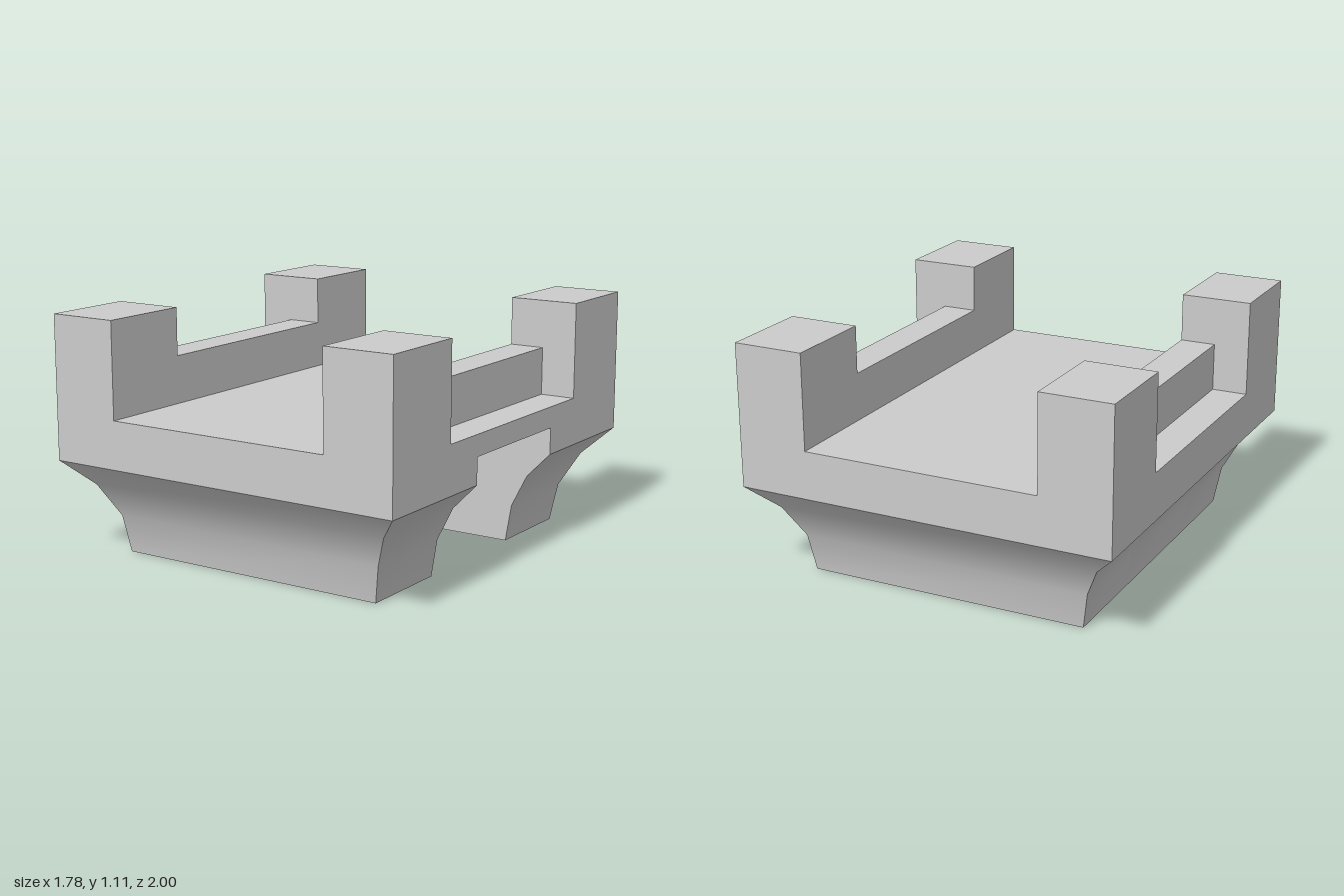
import * as THREE from 'three';
import { toCreasedNormals } from 'three/addons/utils/BufferGeometryUtils.js';

const GREY = new THREE.MeshStandardMaterial({ color: 0xcccccc });
const FLOOR = 0.667, HALF_X = 0.889, INNER_X = 0.556, POST_Z = 0.556, SLOT = 0.333;

// Base outline from the ground up to the floor: [y, half width, half depth]
const PROFILE = [
  [0, 0.667, 0.778],
  [0.173, 0.696, 0.805],
  [0.325, 0.773, 0.885],
  [0.444, HALF_X, 1],
  [FLOOR, HALF_X, 1],
];

function add(parent, name, geometry) {
  const mesh = new THREE.Mesh(geometry, GREY);
  mesh.name = name;
  parent.add(mesh);
  return mesh;
}

function boxBetween(parent, name, x0, x1, y0, y1, z0, z1) {
  const mesh = add(parent, name, new THREE.BoxGeometry(x1 - x0, y1 - y0, z1 - z0));
  mesh.position.set((x0 + x1) / 2, (y0 + y1) / 2, (z0 + z1) / 2);
}

// One end of the base: rectangles stacked along the profile, flat against the slot
function endBlockGeometry() {
  const rings = PROFILE.map(([y, hx, hz]) => [
    [-hx, y, hz], [hx, y, hz], [hx, y, SLOT], [-hx, y, SLOT],
  ]);
  const points = [];
  const quad = (a, b, c, d) => points.push(...a, ...b, ...c, ...a, ...c, ...d);
  for (let r = 0; r < rings.length - 1; r++) {
    for (let i = 0; i < 4; i++) {
      const j = (i + 1) % 4;
      quad(rings[r][i], rings[r][j], rings[r + 1][j], rings[r + 1][i]);
    }
  }
  quad(...[...rings[0]].reverse());
  quad(...rings[rings.length - 1]);
  const geometry = new THREE.BufferGeometry();
  geometry.setAttribute('position', new THREE.Float32BufferAttribute(points, 3));
  return toCreasedNormals(geometry, 0.5);
}

// Middle of the base: a slot with a sloping ceiling, open on the left side and below
function slotBlockGeometry() {
  const shape = new THREE.Shape();
  shape.moveTo(-PROFILE[0][1], 0);
  shape.lineTo(HALF_X, 0.568);
  shape.lineTo(HALF_X, FLOOR);
  for (const [y, hx] of [...PROFILE].reverse().slice(0, -1)) shape.lineTo(-hx, y);
  shape.closePath();
  const geometry = new THREE.ExtrudeGeometry(shape, { depth: 2 * SLOT, bevelEnabled: false });
  geometry.translate(0, 0, -SLOT);
  return toCreasedNormals(geometry, 0.5);
}

export function createModel() {
  const model = new THREE.Group();
  model.name = 'battlementBlock';

  // Coved base
  const base = new THREE.Group();
  base.name = 'base';
  model.add(base);
  const end = endBlockGeometry();
  add(base, 'frontBase', end);
  add(base, 'backBase', end).rotation.y = Math.PI;
  add(base, 'slottedBase', slotBlockGeometry());

  // Corner posts and the low rails between them
  for (const sx of [1, -1]) {
    const side = sx > 0 ? 'left' : 'right';
    const span = (a, b) => (sx > 0 ? [a, b] : [-b, -a]);
    boxBetween(model, side + 'FrontPost', ...span(INNER_X, HALF_X), FLOOR, 1.111, POST_Z, 1);
    boxBetween(model, side + 'BackPost', ...span(INNER_X, HALF_X), FLOOR, 1.111, -1, -POST_Z);
    boxBetween(model, side + 'Rail', ...span(INNER_X, 0.722), FLOOR, 0.889, -POST_Z, POST_Z);
  }
  return model;
}
